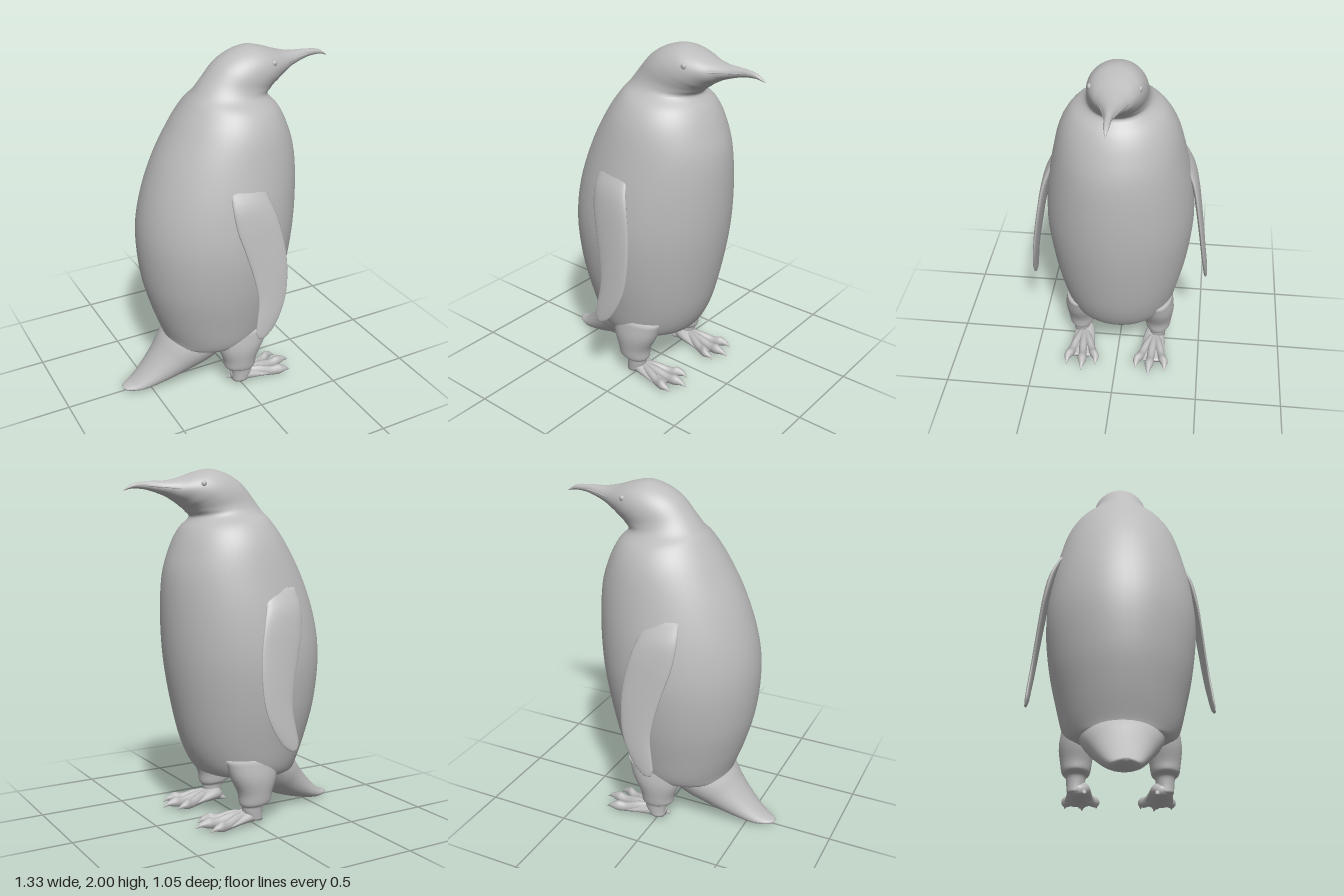
import * as THREE from 'three';

const grey = new THREE.MeshStandardMaterial({ color: 0xbcbcbc });
grey.name = 'plain grey';

// Smooth closed skin through oval sections [ax, ay, bx, by, halfWidthZ, centreZ].
// a and b are the ends of the oval in the xy plane.
function loft(name, sections, sides = 32, steps = 4) {
  const A = new THREE.CatmullRomCurve3(sections.map(s => new THREE.Vector3(s[0], s[1], s[4])), false, 'catmullrom', 0.5);
  const B = new THREE.CatmullRomCurve3(sections.map(s => new THREE.Vector3(s[2], s[3], s[5] || 0)), false, 'catmullrom', 0.5);
  const rings = (sections.length - 1) * steps;
  const pos = [], index = [];
  for (let i = 0; i <= rings; i++) {
    const a = A.getPoint(i / rings), b = B.getPoint(i / rings);
    for (let j = 0; j < sides; j++) {
      const t = (j / sides) * Math.PI * 2, c = Math.cos(t) / 2;
      pos.push((a.x + b.x) / 2 + (b.x - a.x) * c, (a.y + b.y) / 2 + (b.y - a.y) * c, b.z + a.z * Math.sin(t));
    }
  }
  for (let i = 0; i < rings; i++) {
    for (let j = 0; j < sides; j++) {
      const k = (j + 1) % sides, p = i * sides, q = p + sides;
      index.push(p + j, q + j, p + k, q + j, q + k, p + k);
    }
  }
  // end caps
  const start = pos.length / 3;
  for (const [n, s] of [[0, sections[0]], [1, sections[sections.length - 1]]]) {
    pos.push((s[0] + s[2]) / 2, (s[1] + s[3]) / 2, s[5] || 0);
    const p = n * rings * sides;
    for (let j = 0; j < sides; j++) {
      const k = (j + 1) % sides;
      if (n) index.push(p + j, start + 1, p + k);
      else index.push(p + j, p + k, start);
    }
  }
  const g = new THREE.BufferGeometry();
  g.setAttribute('position', new THREE.Float32BufferAttribute(pos, 3));
  g.setIndex(index);
  g.computeVertexNormals();
  const mesh = new THREE.Mesh(g, grey);
  mesh.name = name;
  return mesh;
}

// Belly up to the throat, then over the head to the beak tip
const bodySections = [
  [-0.25, 0.22, 0.0, 0.23, 0.12], [-0.36, 0.27, 0.17, 0.27, 0.25], [-0.38, 0.33, 0.24, 0.32, 0.31],
  [-0.44, 0.5, 0.31, 0.47, 0.355], [-0.49, 0.7, 0.365, 0.7, 0.4], [-0.51, 0.95, 0.405, 0.95, 0.425],
  [-0.48, 1.17, 0.42, 1.2, 0.41], [-0.4, 1.4, 0.41, 1.42, 0.37], [-0.29, 1.6, 0.365, 1.57, 0.325],
  [-0.21, 1.715, 0.315, 1.67, 0.265], [-0.165, 1.77, 0.26, 1.735, 0.19], [-0.12, 1.83, 0.285, 1.765, 0.165],
  [-0.04, 1.92, 0.305, 1.783, 0.16], [0.05, 1.975, 0.325, 1.795, 0.152], [0.15, 2.0, 0.345, 1.81, 0.135],
  [0.24, 1.985, 0.38, 1.83, 0.108], [0.33, 1.955, 0.42, 1.85, 0.073], [0.42, 1.935, 0.48, 1.87, 0.043],
  [0.52, 1.93, 0.54, 1.885, 0.022], [0.6, 1.92, 0.6, 1.89, 0.016], [0.64, 1.9, 0.635, 1.886, 0.01],
  [0.665, 1.88, 0.66, 1.878, 0.002],
];

const tailSections = [
  [0.0, 0.25, -0.25, 0.45, 0.26], [-0.11, 0.155, -0.375, 0.32, 0.21], [-0.22, 0.1, -0.44, 0.23, 0.165],
  [-0.37, 0.045, -0.52, 0.135, 0.12], [-0.52, 0.01, -0.6, 0.06, 0.08], [-0.61, 0.005, -0.65, 0.04, 0.045],
  [-0.655, 0.015, -0.665, 0.033, 0.02],
];

// Flipper from tip to shoulder
const flipperSections = [
  [-0.04, 0.49, 0.0, 0.49, 0.006, 0.52], [-0.055, 0.53, 0.05, 0.53, 0.011, 0.515],
  [-0.045, 0.6, 0.105, 0.62, 0.013, 0.508], [-0.03, 0.72, 0.145, 0.74, 0.014, 0.494],
  [-0.05, 0.85, 0.155, 0.9, 0.016, 0.475], [-0.09, 1.0, 0.14, 1.05, 0.018, 0.452],
  [-0.125, 1.12, 0.11, 1.18, 0.022, 0.428], [-0.14, 1.25, 0.08, 1.27, 0.026, 0.395],
  [-0.13, 1.36, 0.06, 1.36, 0.02, 0.345],
];

// Leg from ankle to thigh, with a feathered cuff
const legSections = [
  [-0.05, 0.03, 0.05, 0.04, 0.045], [-0.05, 0.08, 0.07, 0.09, 0.05], [-0.06, 0.125, 0.075, 0.115, 0.055],
  [-0.1, 0.14, 0.09, 0.135, 0.075], [-0.11, 0.19, 0.1, 0.2, 0.085], [-0.14, 0.28, 0.15, 0.3, 0.095],
  [-0.15, 0.4, 0.18, 0.4, 0.08],
].map(s => [...s, 0.24]);

const footSections = [
  [-0.05, 0.06, -0.045, 0.02, 0.02], [0.0, 0.1, 0.0, 0.015, 0.055], [0.1, 0.075, 0.1, 0.015, 0.07],
  [0.18, 0.05, 0.18, 0.015, 0.075], [0.23, 0.035, 0.23, 0.015, 0.055],
].map(s => [...s, 0.22]);

// Toe ending in a drooping claw
function toe(tipX, tipZ) {
  const rootX = 0.02, rootZ = 0.225;
  return [
    [0, 0.09, 0.02, 0.025], [0.35, 0.088, 0.015, 0.027], [0.6, 0.07, 0.012, 0.024], [0.75, 0.078, 0.015, 0.028],
    [0.85, 0.066, 0.025, 0.02], [0.93, 0.052, 0.03, 0.011], [1, 0.03, 0.025, 0.003],
  ].map(([t, top, low, w]) => {
    const x = rootX + (tipX - rootX) * t;
    return [x, top, x, low, w, rootZ + (tipZ - rootZ) * Math.min(1, t * 1.15)];
  });
}

export function createModel() {
  const model = new THREE.Group();
  model.name = 'penguin';
  model.add(loft('bodyAndHead', bodySections, 48, 5), loft('tail', tailSections));

  for (const side of [1, -1]) {
    const label = side > 0 ? 'left' : 'right';
    const place = (sections, dx = 0) => sections.map(s => [s[0] + dx, s[1], s[2] + dx, s[3], s[4], s[5] * side]);

    // the far flipper hangs slightly further back
    model.add(loft(label + 'Flipper', place(flipperSections, side > 0 ? 0 : -0.06), 24));

    const leg = new THREE.Group();
    leg.name = label + 'Leg';
    leg.add(loft('thighAndAnkle', place(legSections), 24), loft('footPad', place(footSections), 24));
    for (const [x, z] of [[0.3, 0.125], [0.355, 0.205], [0.31, 0.3]]) {
      leg.add(loft('toe', place(toe(x, z)), 12));
    }
    const hindClaw = [[-0.065, 0.02, -0.065, 0.015, 0.003, 0.19], [-0.04, 0.045, -0.04, 0.015, 0.014, 0.195],
      [0.02, 0.07, 0.02, 0.02, 0.02, 0.21]].map(s => [s[0], s[1], s[2], s[3], s[4], s[5]]);
    leg.add(loft('hindClaw', place(hindClaw), 10));
    model.add(leg);

    const eye = new THREE.Mesh(new THREE.SphereGeometry(0.016, 16, 12), grey);
    eye.name = label + 'Eye';
    eye.position.set(0.25, 1.917, 0.128 * side);
    eye.scale.z = 0.7;
    model.add(eye);

    // edge of the closed bill
    const lip = new THREE.CatmullRomCurve3([[0.31, 1.895, 0.106], [0.375, 1.893, 0.073], [0.45, 1.898, 0.043], [0.53, 1.904, 0.021]]
      .map(([x, y, z]) => new THREE.Vector3(x, y, z * side)));
    const mouth = new THREE.Mesh(new THREE.TubeGeometry(lip, 20, 0.004, 6), grey);
    mouth.name = label + 'MouthEdge';
    model.add(mouth);
  }
  return model;
}
